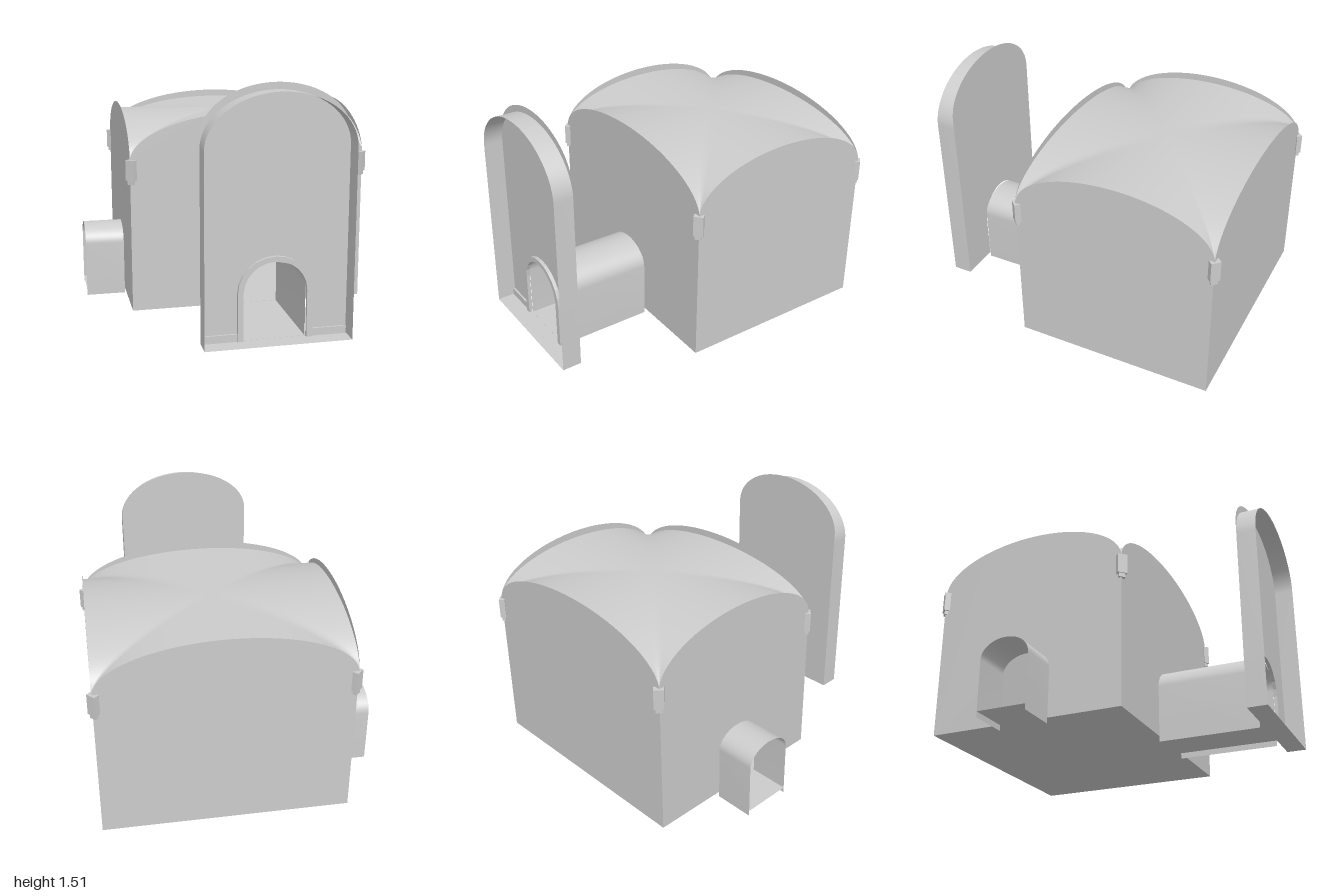
import * as THREE from 'three';
import { toCreasedNormals } from 'three/addons/utils/BufferGeometryUtils.js';

const grey = new THREE.MeshStandardMaterial({ color: 0xcccccc, side: THREE.DoubleSide });
const CX = 0.11, CZ = -0.355, HX = 0.74, HZ = 0.615, FLOOR = 0.035;

// Outline of an arch: up one side, over the elliptical top, down the other
function archPoints(c, half, base, spring, rise, n = 32) {
  const pts = [new THREE.Vector2(c - half, base)];
  for (let i = 0; i <= n; i++) {
    const a = Math.PI * (1 - i / n);
    pts.push(new THREE.Vector2(c + half * Math.cos(a), spring + rise * Math.sin(a)));
  }
  pts.push(new THREE.Vector2(c + half, base));
  return pts;
}

// Flat arched panel in the xy plane, with an optional arched doorway
function panel(points, hole) {
  const shape = new THREE.Shape(points);
  if (hole) shape.holes.push(new THREE.Path(hole));
  return new THREE.ShapeGeometry(shape);
}

// Thin sheet following an outline, from z0 to z1
function sheet(points, z0, z1) {
  const g = new THREE.PlaneGeometry(1, 1, points.length - 1, 1);
  const p = g.attributes.position;
  for (let i = 0; i < p.count; i++) {
    const q = points[i % points.length];
    p.setXYZ(i, q.x, q.y, i < points.length ? z0 : z1);
  }
  return toCreasedNormals(g, 0.6);
}

export function createModel() {
  const model = new THREE.Group();
  const add = (name, geometry, parent = model) => {
    const mesh = new THREE.Mesh(geometry, grey);
    mesh.name = name;
    parent.add(mesh);
    return mesh;
  };
  const box = (name, w, h, d, x, y, z, parent) => {
    const m = add(name, new THREE.BoxGeometry(w, h, d), parent);
    m.position.set(x, y, z);
    return m;
  };
  const floor = (name, w, d, x, z) => {
    const m = add(name, new THREE.PlaneGeometry(w, d), model);
    m.rotation.x = -Math.PI / 2;
    m.position.set(x, FLOOR, z);
  };

  // Chamber walls with arched tops that rise above the vault
  const corridorArch = archPoints(CX, 0.183, FLOOR + 0.001, 0.355, 0.135);
  const sideArch = archPoints(-CZ, 0.155, FLOOR + 0.001, 0.35, 0.113);
  const longWall = archPoints(CX, HX, FLOOR, 0.98, 0.285, 48);
  const shortWall = archPoints(-CZ, HZ, FLOOR, 0.98, 0.285, 48);
  add('frontWall', panel(longWall, corridorArch)).position.z = CZ + HZ;
  add('backWall', panel(longWall)).position.z = CZ - HZ;
  for (const s of [1, -1]) {
    const wall = add(s > 0 ? 'leftWall' : 'rightWall', panel(shortWall, s < 0 ? sideArch : null));
    wall.rotation.y = Math.PI / 2; // local x becomes -z
    wall.position.x = CX + s * HX;
  }
  floor('chamberFloor', 2 * HX, 2 * HZ, CX, CZ);

  // Groin vault: the higher of two crossing barrels; grid bunched at the edges
  const N = 64;
  const vault = new THREE.PlaneGeometry(1, 1, N, N);
  const p = vault.attributes.position;
  const ease = (t) => Math.sin(Math.PI * t);
  for (let i = 0; i < p.count; i++) {
    const u = ease(p.getX(i)), v = ease(-p.getY(i));
    const t = Math.min(Math.abs(u), Math.abs(v));
    p.setXYZ(i, CX + HX * u, 0.98 + 0.24 * Math.sqrt(Math.max(0, 1 - t * t)), CZ + HZ * v);
  }
  vault.computeVertexNormals();
  add('groinVault', vault);

  // Lanterns set diagonally on the four corners
  for (const sx of [1, -1]) for (const sz of [1, -1]) {
    const lantern = new THREE.Group();
    lantern.name = 'cornerLantern';
    lantern.position.set(CX + sx * (HX - 0.007), 0, CZ + sz * (HZ - 0.002));
    lantern.rotation.y = Math.atan2(sx, sz);
    box('lanternBody', 0.058, 0.125, 0.036, 0, 0.928, 0, lantern);
    box('lanternFoot', 0.04, 0.026, 0.024, 0, 0.853, 0, lantern);
    model.add(lantern);
  }

  // Front corridor, with side sheets reaching below its floor
  add('corridor', sheet(archPoints(CX, 0.183, 0, 0.355, 0.135), CZ + HZ, 0.88));
  floor('corridorFloor', 0.366, 0.62, CX, 0.57);

  // Short tunnel on the right side, open at its end
  const tunnel = add('sideTunnel', sheet(archPoints(-CZ, 0.155, 0, 0.35, 0.113), -0.88, CX - HX));
  tunnel.rotation.y = Math.PI / 2;
  floor('tunnelFloor', 0.25, 0.31, -0.755, CZ);

  // Entrance: tall arched panel at the back of an open-fronted rim
  const HF = 0.432;
  const doorway = archPoints(CX, 0.187, FLOOR + 0.001, 0.32, 0.18, 12);
  add('entrancePanel', panel(archPoints(CX, HF, FLOOR, 1.22, 0.29, 48), doorway)).position.z = 0.88;
  add('entranceRim', sheet(archPoints(CX, HF, FLOOR, 1.155, 0.315, 48), 0.88, 1));
  floor('entranceFloor', 2 * HF, 0.12, CX, 0.94);
  for (const s of [1, -1]) {
    box('baseboard', 0.21, 0.045, 0.012, CX + s * 0.325, FLOOR + 0.0225, 0.887);
  }

  // Raised frame around the doorway
  const frame = new THREE.Shape([
    ...archPoints(CX, 0.22, FLOOR, 0.32, 0.21, 12),
    ...archPoints(CX, 0.187, FLOOR, 0.32, 0.18, 12).reverse(),
  ]);
  add('doorFrame', new THREE.ExtrudeGeometry(frame, { depth: 0.022, bevelEnabled: false }))
    .position.z = 0.88;

  // Small torch on the corridor wall
  const torch = new THREE.Group();
  torch.name = 'wallTorch';
  torch.position.set(-0.043, 0, 0.58);
  add('torchHandle', new THREE.CylinderGeometry(0.007, 0.004, 0.08, 8), torch).position.y = 0.275;
  add('torchFlame', new THREE.ConeGeometry(0.009, 0.04, 8), torch).position.y = 0.333;
  box('torchBracket', 0.03, 0.007, 0.007, -0.015, 0.27, 0, torch);
  model.add(torch);

  return model;
}
